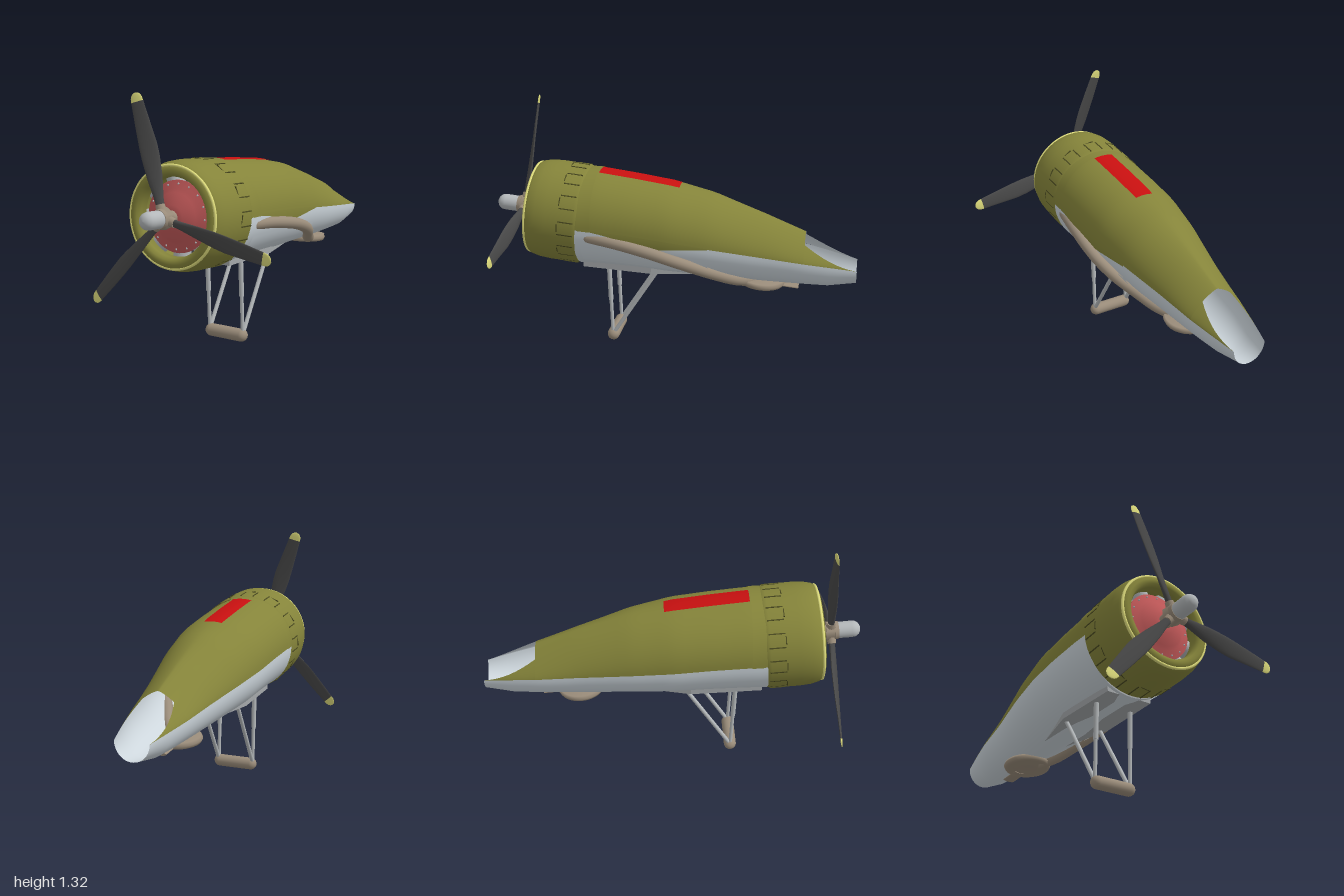
import * as THREE from 'three';

const V = (x, y, z) => new THREE.Vector3(x, y, z);
const mat = (color, side = THREE.DoubleSide) => new THREE.MeshStandardMaterial({ color, side });
const OLIVE = mat(0x85843a), DARK = mat(0x4a4a20), SKIN = mat(0xcdd6dc), BELLY = mat(0xa4a8aa);
const RED = mat(0xc81010), PLATE = mat(0xc05858), BLACK = mat(0x484848), YELLOW = mat(0xdedc7c);
const PIPE = mat(0x9a8c7a), METAL = mat(0xb4b8ba), INNER = mat(0x55565a);
const CX = -0.096, H = Math.PI / 2;

function add(parent, name, geometry, material) {
  const m = new THREE.Mesh(geometry, material);
  m.name = name;
  parent.add(m);
  return m;
}

// Smooth surface through equal-length rows of points
function grid(rows) {
  const n = rows[0].length, idx = [];
  for (let i = 0; i < rows.length - 1; i++)
    for (let j = 0; j < n - 1; j++) {
      const a = i * n + j, b = a + n;
      idx.push(a, a + 1, b, a + 1, b + 1, b);
    }
  const g = new THREE.BufferGeometry().setFromPoints(rows.flat());
  g.setIndex(idx);
  g.computeVertexNormals();
  return g;
}

// Fuselage stations: z, half width, top, widest height, bottom, roundness of the top
const STATIONS = [
  [0.5, 0.268, 0.972, 0.71, 0.44, 1], [0.4, 0.27, 0.972, 0.705, 0.443, 1],
  [0.2, 0.267, 0.948, 0.69, 0.437, 1], [0, 0.26, 0.92, 0.667, 0.425, 1],
  [-0.22, 0.232, 0.872, 0.637, 0.417, 1.1], [-0.5, 0.182, 0.775, 0.592, 0.402, 1.3],
  [-0.72, 0.152, 0.69, 0.56, 0.397, 1.5], [-0.85, 0.125, 0.64, 0.54, 0.395, 1.5],
  [-1, 0.09, 0.59, 0.515, 0.42, 1.5],
];
function section(z) {
  let i = 0;
  while (i < STATIONS.length - 2 && z < STATIONS[i + 1][0]) i++;
  const a = STATIONS[i], b = STATIONS[i + 1], t = (a[0] - z) / (a[0] - b[0]);
  return a.map((v, k) => v + (b[k] - v) * t);
}
const spow = (v, e) => Math.sign(v) * Math.abs(v) ** e;
// Angle 0 is the top, a quarter turn is the +x side
function hullPoint(z, a, grow = 0) {
  const [, w, top, mid, bot, e] = section(z), c = Math.cos(a), k = c >= 0 ? e : 1;
  return V(CX + (w + grow) * spow(Math.sin(a), k), mid + ((c >= 0 ? top - mid : mid - bot) + grow) * spow(c, k), z);
}
function hullPatch(z0, z1, from, to, grow = 0, nz = 16, na = 32) {
  const rows = [];
  for (let i = 0; i <= nz; i++) {
    const z = z0 + (z1 - z0) * i / nz, a0 = from(z), a1 = to(z), row = [];
    for (let j = 0; j <= na; j++) row.push(hullPoint(z, a0 + (a1 - a0) * j / na, grow));
    rows.push(row);
  }
  return grid(rows);
}

function buildFuselage(root) {
  const g = new THREE.Group();
  g.name = 'fuselage';
  root.add(g);
  const at = (v) => () => v;
  const oliveOut = mat(0x85843a, THREE.FrontSide), paleIn = mat(0xcdd6dc, THREE.BackSide);
  const cut = (z) => 0.735 + (H - 0.735) * (-0.72 - z) / 0.28;
  const skins = {
    upperSkin: hullPatch(0.5, -0.72, at(-H), at(H), 0, 28),
    tailSideLeft: hullPatch(-0.72, -1, cut, at(H), 0, 8, 10),
    tailSideRight: hullPatch(-0.72, -1, at(-H), (z) => -cut(z), 0, 8, 10),
  };
  for (const [name, geo] of Object.entries(skins)) {
    add(g, name, geo, oliveOut);
    add(g, name + 'Lining', geo, paleIn);
  }
  add(g, 'lowerSkin', hullPatch(0.5, -1, at(H), at(3 * H), 0, 30), SKIN);
  // Side flap above the exhaust, and the bevelled panel beneath it
  add(g, 'exhaustFlap', hullPatch(0.4, -0.22, at(H - 0.03), (z) => H + 0.2 * Math.max(0, 1 - Math.abs(z - 0.07) / 0.31), 0.004, 12, 6), OLIVE);
  add(g, 'exhaustPanel', hullPatch(0.46, -0.22, at(H + 0.36), at(H + 0.75), 0.008, 10, 8), SKIN);
  add(g, 'rearCowlBand', hullPatch(0.475, 0.405, at(-H), at(H), 0.005, 2), OLIVE);
  // Red stripe along the spine
  add(g, 'spineStripe', hullPatch(0.4, -0.04, at(-0.2), at(0.2), 0.004, 10, 8), RED);
  // Flat belly panel
  const s = new THREE.Shape([[-0.13, 0.48], [0.13, 0.48], [0.14, 0.1], [0.06, -0.22], [-0.06, -0.22], [-0.14, 0.1]]
    .map((p) => new THREE.Vector2(...p)));
  const belly = add(g, 'bellyPanel', new THREE.ExtrudeGeometry(s, { depth: 0.05, bevelEnabled: false }), BELLY);
  belly.rotation.x = H - 0.03;
  belly.position.set(CX, 0.483, 0);
}

function lathe(points, segments = 64) {
  return new THREE.LatheGeometry(points.map((p) => new THREE.Vector2(...p)), segments);
}

function bladeGeometry(sections) {
  // r, leading edge, trailing edge, half thickness, pitch
  return grid(sections.map(([r, lead, trail, th, pitch]) => {
    const row = [];
    for (let j = 0; j <= 16; j++) {
      const t = j / 16 * Math.PI * 2;
      const c = (lead + trail) / 2 + (trail - lead) / 2 * Math.cos(t), y = th * Math.sin(t);
      row.push(V(r, y * Math.cos(pitch) - c * Math.sin(pitch), c * Math.cos(pitch) + y * Math.sin(pitch)));
    }
    return row;
  }));
}

function buildEngine(root) {
  // Local y runs forward along the tilted thrust line
  const g = new THREE.Group();
  g.name = 'engine';
  g.position.set(CX, 0.71, 0.485);
  g.rotation.x = H - 0.085;
  root.add(g);
  add(g, 'cowl', lathe([[0.268, 0], [0.275, 0.02], [0.276, 0.17], [0.272, 0.23], [0.262, 0.272], [0.248, 0.295], [0.228, 0.305],
    [0.208, 0.3], [0.196, 0.28], [0.195, 0.24], [0.24, 0.2], [0.25, 0]]), OLIVE);
  const lip = add(g, 'cowlLip', new THREE.TorusGeometry(0.25, 0.008, 8, 64), YELLOW);
  lip.rotation.x = H;
  lip.position.y = 0.29;
  add(g, 'firewall', new THREE.CylinderGeometry(0.255, 0.255, 0.01, 48), INNER).position.y = 0.04;
  // Cowl flap seams
  for (let i = 0; i < 24; i++) {
    const pivot = new THREE.Group();
    pivot.rotation.y = (i + 0.5) / 24 * Math.PI * 2;
    g.add(pivot);
    add(pivot, 'flapSeam', new THREE.BoxGeometry(0.006, 0.085, 0.006), DARK).position.set(0, 0.055, 0.2745);
    if (i % 2) add(pivot, 'flapHinge', new THREE.BoxGeometry(0.045, 0.005, 0.006), DARK).position.set(0.036, 0.1, 0.272);
  }
  // Radial cylinders behind the face plate
  for (let i = 0; i < 9; i++) {
    const a = i / 9 * Math.PI * 2 + 0.2;
    const c = add(g, 'engineCylinder', new THREE.CylinderGeometry(0.045, 0.045, 0.16, 16), METAL);
    c.position.set(Math.cos(a) * 0.14, 0.19, Math.sin(a) * 0.14);
    c.rotation.set(0, -a, -H, 'YXZ');
  }
  add(g, 'facePlate', lathe([[0.178, 0.235], [0.178, 0.243], [0.135, 0.252], [0.12, 0.268], [0.06, 0.29], [0.035, 0.295], [0, 0.295]]), PLATE);
  for (let i = 0; i < 16; i++) {
    const a = i / 16 * Math.PI * 2;
    add(g, 'rivet', new THREE.SphereGeometry(0.005, 8, 6), METAL).position.set(Math.cos(a) * 0.16, 0.248, Math.sin(a) * 0.16);
  }

  // Propeller
  const prop = new THREE.Group();
  prop.name = 'propeller';
  prop.position.y = 0.36;
  g.add(prop);
  add(prop, 'propShaft', new THREE.CylinderGeometry(0.035, 0.035, 0.1, 24), PIPE).position.y = -0.04;
  add(prop, 'hub', new THREE.CylinderGeometry(0.05, 0.055, 0.05, 6), PIPE);
  add(prop, 'hubCollar', new THREE.CylinderGeometry(0.046, 0.05, 0.02, 24), PIPE).position.y = 0.03;
  add(prop, 'spinner', lathe([[0.043, 0.02], [0.044, 0.11], [0.041, 0.13], [0.03, 0.146], [0.015, 0.154], [0, 0.156]], 32), METAL);
  const blade = bladeGeometry([[0.03, -0.018, 0.018, 0.017, 0.6], [0.1, -0.022, 0.024, 0.015, 0.55], [0.2, -0.034, 0.042, 0.011, 0.45],
    [0.3, -0.04, 0.052, 0.009, 0.36], [0.36, -0.04, 0.053, 0.008, 0.32], [0.46, -0.037, 0.044, 0.007, 0.24], [0.57, -0.032, 0.034, 0.005, 0.18]]);
  const tip = bladeGeometry([[0.57, -0.032, 0.034, 0.005, 0.18], [0.59, -0.03, 0.031, 0.005, 0.17], [0.603, -0.024, 0.025, 0.004, 0.16],
    [0.612, -0.014, 0.015, 0.003, 0.16], [0.616, 0, 0.001, 0.0005, 0.16]]);
  for (const deg of [108, -12, 228]) {
    const b = new THREE.Group();
    b.name = 'propellerBlade';
    b.rotation.y = deg * Math.PI / 180;
    prop.add(b);
    add(b, 'bladeBody', blade, BLACK);
    add(b, 'bladeTip', tip, YELLOW);
    const cuff = add(b, 'bladeCuff', new THREE.CylinderGeometry(0.022, 0.026, 0.03, 12), PIPE);
    cuff.rotation.z = -H;
    cuff.position.x = 0.055;
  }
}

function rod(parent, name, a, b, r, material) {
  const m = add(parent, name, new THREE.CylinderGeometry(r, r, a.distanceTo(b), 16), material);
  m.position.copy(a).lerp(b, 0.5);
  m.quaternion.setFromUnitVectors(V(0, 1, 0), b.clone().sub(a).normalize());
}

function buildExhaust(root) {
  const g = new THREE.Group();
  g.name = 'exhaust';
  root.add(g);
  const path = new THREE.CatmullRomCurve3([V(0.145, 0.665, 0.42), V(0.165, 0.65, 0.28), V(0.178, 0.61, 0.08), V(0.168, 0.575, -0.03),
    V(0.135, 0.53, -0.14), V(0.075, 0.475, -0.25), V(0.02, 0.43, -0.36), V(-0.04, 0.405, -0.45)]);
  add(g, 'exhaustPipe', new THREE.TubeGeometry(path, 48, 0.031, 16), PIPE);
  add(g, 'exhaustCap', new THREE.SphereGeometry(0.031, 16, 12), PIPE).position.copy(path.getPoint(0));
  // Round outlet housing under the belly, with stepped rings
  const d = new THREE.Group();
  d.name = 'turboHousing';
  d.position.set(-0.09, 0.398, -0.49);
  d.rotation.x = -0.08;
  g.add(d);
  add(d, 'housingDisc', lathe([[0, -0.012], [0.04, -0.012], [0.045, -0.018], [0.07, -0.018], [0.075, -0.01], [0.1, -0.01], [0.105, -0.018],
    [0.122, -0.016], [0.13, 0], [0.122, 0.016], [0, 0.022]], 40), PIPE);
  const out = add(g, 'tailOutlet', new THREE.CylinderGeometry(0.035, 0.035, 0.13, 16), PIPE);
  out.scale.set(1, 1, 0.25);
  out.rotation.x = H - 0.08;
  out.position.set(-0.09, 0.378, -0.63);
}

function buildStand(root) {
  const g = new THREE.Group();
  g.name = 'stand';
  root.add(g);
  const foot = add(g, 'footRoller', new THREE.CapsuleGeometry(0.034, 0.187, 8, 24), PIPE);
  foot.rotation.z = H;
  foot.position.set(-0.09, 0.034, 0.327);
  for (const x of [-0.196, 0.012]) {
    rod(g, 'uprightStrut', V(x, 0.04, 0.327), V(x, 0.48, 0.343), 0.01, METAL);
    rod(g, 'uprightSleeve', V(x, 0.25, 0.335), V(x, 0.48, 0.343), 0.013, METAL);
    rod(g, 'diagonalStrut', V(x, 0.04, 0.327), V(x, 0.46, 0.06), 0.011, METAL);
  }
}

export function createModel() {
  const root = new THREE.Group();
  root.name = 'aircraftNose';
  buildFuselage(root);
  buildEngine(root);
  buildExhaust(root);
  buildStand(root);
  return root;
}
